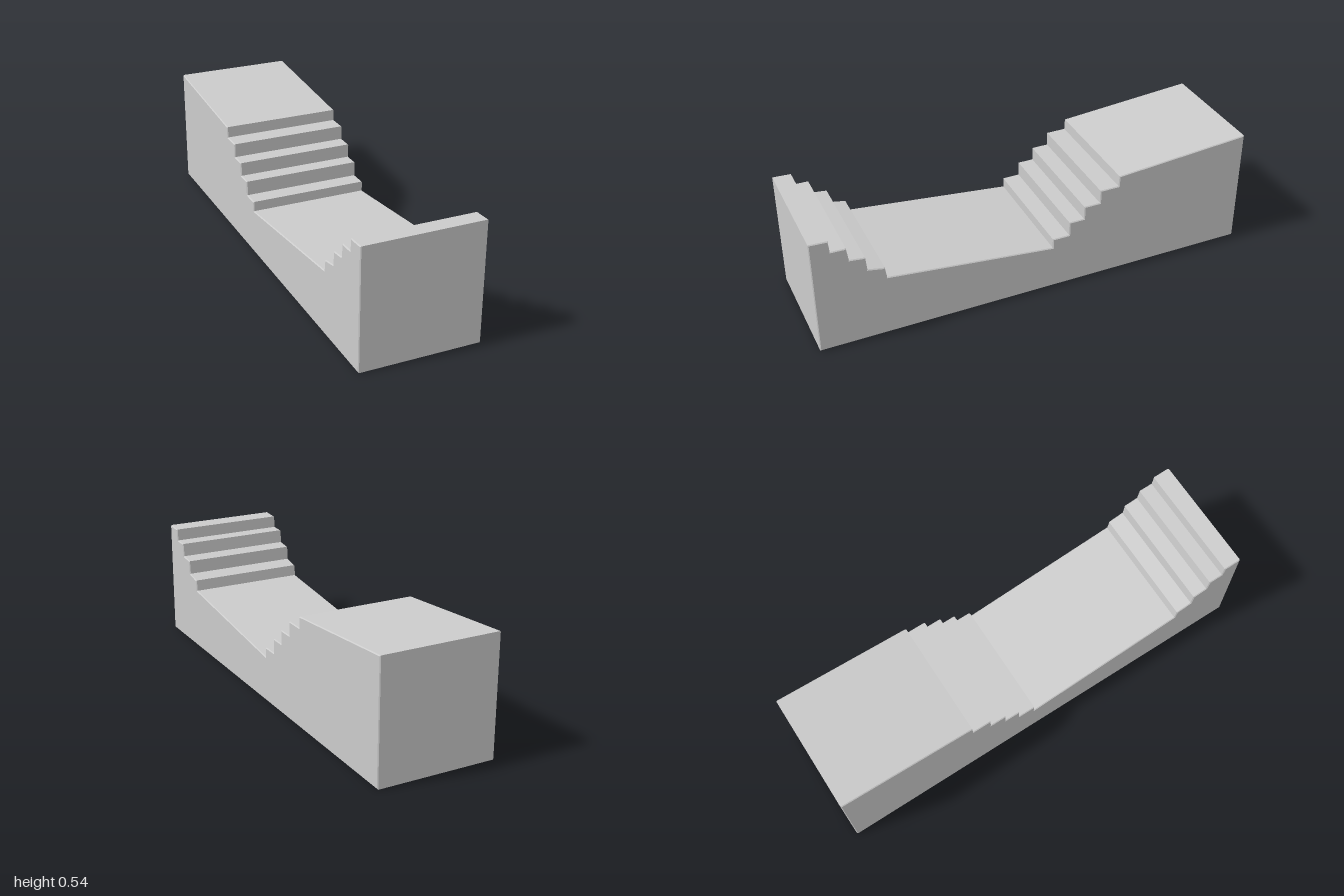
import * as THREE from 'three';

const WIDTH = 0.536;
const BEVEL = 0.004;

// Side profile as [z, y], from the front foot over the top to the back foot
const frontSteps = [
  [1, 0.54], [0.92, 0.536], [0.915, 0.482], [0.85, 0.48], [0.842, 0.42],
  [0.775, 0.412], [0.77, 0.35], [0.697, 0.336], [0.69, 0.286],
];
const backSteps = [
  [-0.062, 0.205], [-0.062, 0.25], [-0.14, 0.25], [-0.14, 0.316], [-0.21, 0.316],
  [-0.21, 0.378], [-0.285, 0.378], [-0.285, 0.441], [-0.373, 0.441], [-0.375, 0.491],
];

export function createModel() {
  const group = new THREE.Group();
  group.name = 'steppedBlock';

  const profile = [[1, 0], ...frontSteps, ...backSteps, [-1, 0.54], [-1, 0]];
  const shape = new THREE.Shape(profile.map(([z, y]) => new THREE.Vector2(z, y)));

  // Extrude across the width, with a narrow chamfer along both sides
  const geometry = new THREE.ExtrudeGeometry(shape, {
    depth: WIDTH - 2 * BEVEL,
    bevelEnabled: true,
    bevelThickness: BEVEL,
    bevelSize: BEVEL,
    bevelOffset: -BEVEL,
    bevelSegments: 1,
  });
  geometry.translate(0, 0, -WIDTH / 2 + BEVEL);
  geometry.rotateY(-Math.PI / 2);

  const material = new THREE.MeshStandardMaterial({ color: 0xcccccc, flatShading: true });
  const body = new THREE.Mesh(geometry, material);
  body.name = 'steppedBody';
  group.add(body);
  return group;
}
